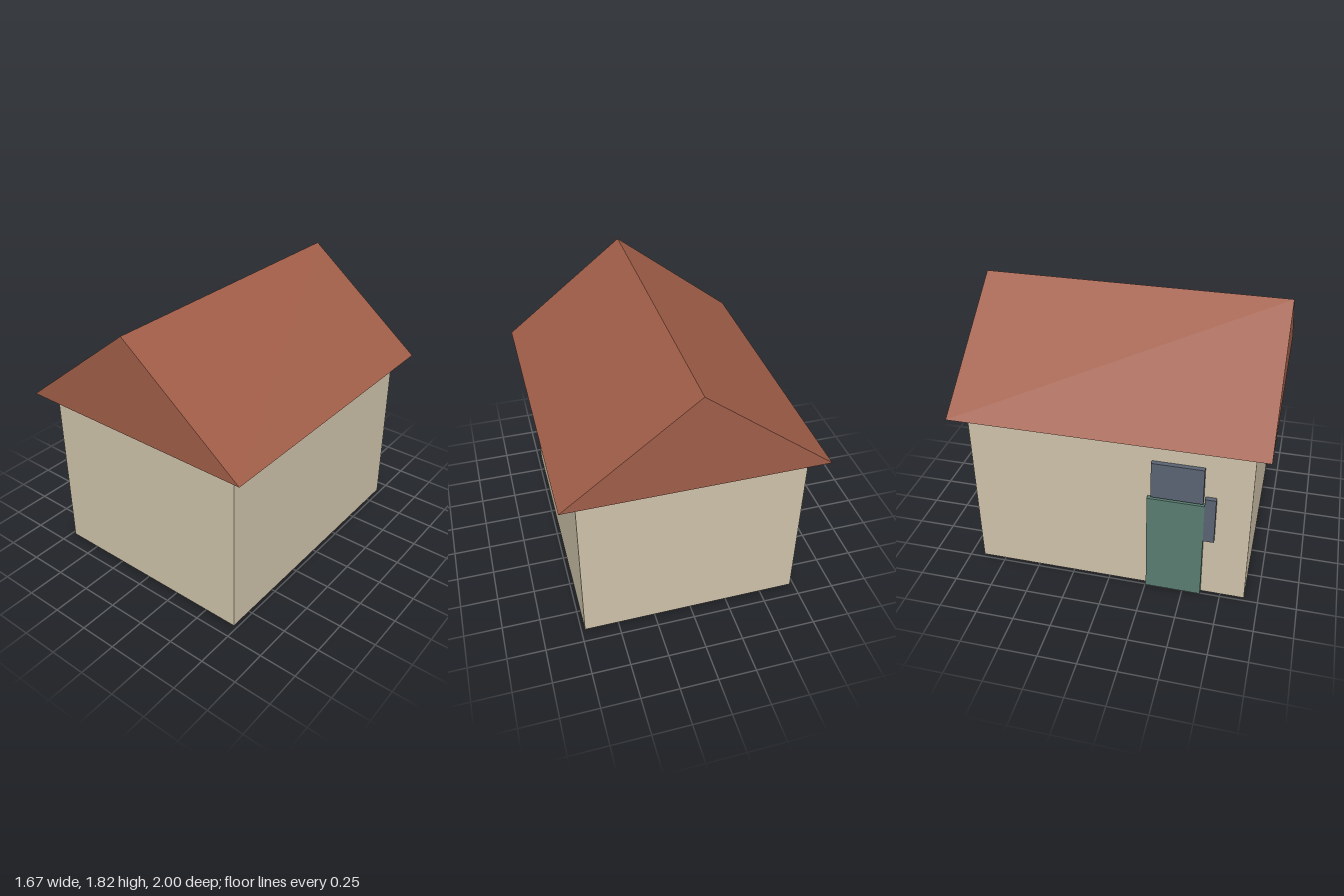
import * as THREE from 'three';

const paint = (name, color) => {
  const m = new THREE.MeshStandardMaterial({ color });
  m.name = name;
  return m;
};

export function createModel() {
  const house = new THREE.Group();
  house.name = 'house';

  const wallPaint = paint('beige plaster', 0xcec2aa);
  const roofPaint = paint('red tile', 0xa05d48);
  const doorPaint = paint('green door', 0x587c6f);
  const glassPaint = paint('slate glass', 0x5a6372);

  const add = (name, geometry, material) => {
    const mesh = new THREE.Mesh(geometry, material);
    mesh.name = name;
    house.add(mesh);
    return mesh;
  };

  // Walls
  add('walls', new THREE.BoxGeometry(1.45, 1.17, 1.815), wallPaint).position.y = 0.585;

  // Solid gable roof with overhanging eaves
  const gable = new THREE.Shape([
    new THREE.Vector2(-0.833, 1.168),
    new THREE.Vector2(0.833, 1.168),
    new THREE.Vector2(0, 1.82),
  ]);
  const roof = new THREE.ExtrudeGeometry(gable, { depth: 2, bevelEnabled: false });
  add('roof', roof.translate(0, 0, -1), roofPaint);

  // Panels standing proud of the right wall, given by their y and z ranges
  const panel = (name, y0, y1, z0, z1, material) => {
    const mesh = add(name, new THREE.BoxGeometry(0.032, y1 - y0, z1 - z0), material);
    mesh.position.set(-0.74, (y0 + y1) / 2, (z0 + z1) / 2);
  };
  panel('door', 0, 0.73, 0.255, 0.62, doorPaint);
  panel('windowAboveDoor', 0.745, 1, 0.28, 0.61, glassPaint);
  panel('sideWindow', 0.455, 0.785, 0.62, 0.69, glassPaint);

  return house;
}
